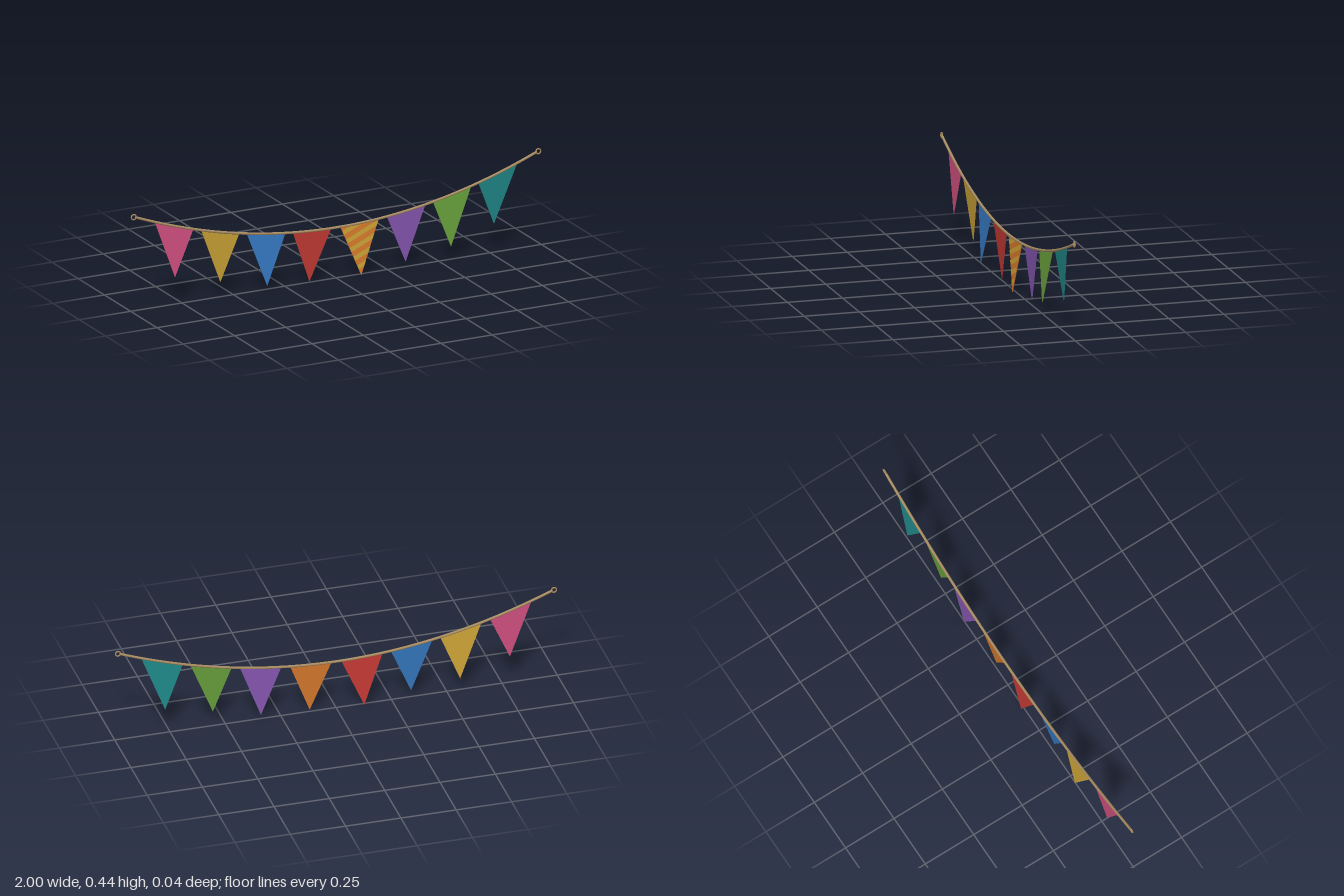
import * as THREE from 'three';

const HALF_SPAN = 0.974, LOW = 0.232, RISE = 0.195, HALF_W = 0.0935, DROP = 0.233, THICK = 0.003;
const ropeY = x => LOW + RISE * (x / HALF_SPAN) ** 2;

const paint = (name, color) => {
  const m = new THREE.MeshStandardMaterial({ color });
  m.name = name;
  return m;
};

// Keep the part of a convex polygon where f(point) >= 0
function clip(points, f) {
  const out = [];
  points.forEach((a, i) => {
    const b = points[(i + 1) % points.length], fa = f(a), fb = f(b);
    if (fa >= 0) out.push(a);
    if (fa * fb < 0) out.push(a.clone().lerp(b, fa / (fa - fb)));
  });
  return out;
}

export function createModel() {
  const group = new THREE.Group();
  const add = (name, geometry, material) => {
    const mesh = new THREE.Mesh(geometry, material);
    mesh.name = name;
    group.add(mesh);
    return mesh;
  };

  const rope = paint('ropeTan', 0xa88c62);
  const ochre = paint('ochre', 0xcba236);
  const orange = paint('orange', 0xd6792b);

  // Sagging rope
  const path = new THREE.CatmullRomCurve3(Array.from({ length: 25 }, (_, i) => {
    const x = HALF_SPAN * (i / 12 - 1);
    return new THREE.Vector3(x, ropeY(x), 0);
  }));
  add('rope', new THREE.TubeGeometry(path, 64, 0.006, 8), rope);

  // Hanging loop and rope end on each side
  for (const side of [-1, 1]) {
    add('endLoop', new THREE.TorusGeometry(0.0115, 0.0032, 8, 20), rope)
      .position.set(side * 0.985, 0.43, 0);
    add('ropeEnd', new THREE.SphereGeometry(0.006, 8, 6), rope)
      .position.set(side * HALF_SPAN, ropeY(HALF_SPAN), 0);
  }

  // Pennants: centre x, tip x, forward swing of the tip, material
  const pennants = [
    [-0.789, -0.787, 0.005, paint('pink', 0xd0507f)],
    [-0.564, -0.557, -0.013, ochre],
    [-0.341, -0.344, 0.017, paint('blue', 0x3478c0)],
    [-0.117, -0.124, -0.011, paint('red', 0xc43a34)],
    [0.114, 0.115, 0.015, orange],
    [0.341, 0.341, -0.005, paint('purple', 0x8455ae)],
    [0.565, 0.553, 0.013, paint('green', 0x68a03c)],
    [0.787, 0.777, -0.016, paint('teal', 0x208888)],
  ];

  for (const [cx, tipX, swing, material] of pennants) {
    const cy = ropeY(cx);
    // Swing a flat piece about the rope
    const tilt = geometry => {
      const p = geometry.attributes.position;
      for (let i = 0; i < p.count; i++) p.setZ(i, p.getZ(i) + swing * (cy - p.getY(i)) / DROP);
      geometry.computeVertexNormals();
      return geometry;
    };
    const outline = [new THREE.Vector2(tipX, cy - DROP)];
    for (let i = 4; i >= 0; i--) {
      const x = cx + HALF_W * (i / 2 - 1);
      outline.push(new THREE.Vector2(x, ropeY(x)));
    }
    const cloth = new THREE.ExtrudeGeometry(new THREE.Shape(outline), { depth: THICK, bevelEnabled: false });
    cloth.translate(0, 0, -THICK / 2);
    add(material.name + 'Pennant', tilt(cloth), material);

    // Slanted stripes on the front of the orange pennant
    if (material === orange) {
      const slant = p => p.y - cy - 0.42 * (p.x - cx);
      for (const mid of [0.003, -0.045, -0.093, -0.141, -0.189]) {
        const band = clip(clip(outline, p => slant(p) - mid + 0.011), p => mid + 0.011 - slant(p));
        if (band.length < 3) continue;
        const stripe = new THREE.ShapeGeometry(new THREE.Shape(band));
        stripe.translate(0, 0, THICK / 2 + 0.001);
        add('stripe', tilt(stripe), ochre);
      }
    }
  }
  return group;
}
